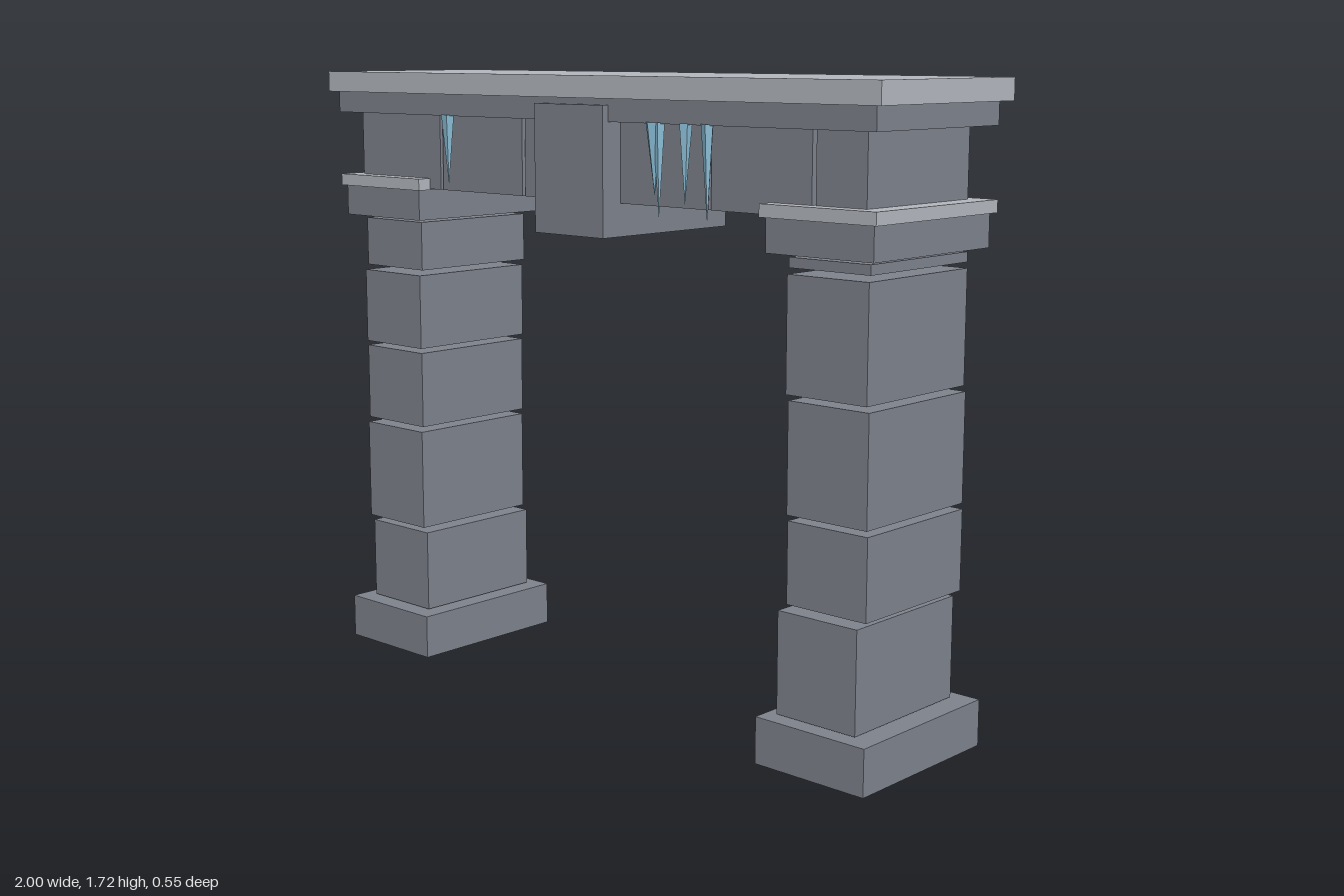
import * as THREE from 'three';

const material = (name, color) => {
  const m = new THREE.MeshStandardMaterial({ color });
  m.name = name;
  return m;
};

export function createModel() {
  const model = new THREE.Group();
  model.name = 'stoneGateway';
  const stone = material('stone', 0x7f838d);
  const paleStone = material('paleStone', 0xb4b8bf);
  const ice = material('ice', 0x8cbfd8);

  // Box given by its extents on each axis
  function block(name, mat, [x0, x1], [y0, y1], [z0, z1], parent = model) {
    const mesh = new THREE.Mesh(new THREE.BoxGeometry(x1 - x0, y1 - y0, z1 - z0), mat);
    mesh.position.set((x0 + x1) / 2, (y0 + y1) / 2, (z0 + z1) / 2);
    mesh.name = name;
    parent.add(mesh);
  }

  // Pillars: loose stacked blocks [centre x, bottom, top, back, front]
  const stacks = {
    rightPillar: [
      [-0.804, 0.13, 0.365, -0.203, 0.203],
      [-0.813, 0.38, 0.67, -0.198, 0.208],
      [-0.813, 0.685, 0.905, -0.2, 0.203],
      [-0.807, 0.92, 1.135, -0.198, 0.21],
      [-0.807, 1.15, 1.29, -0.207, 0.2],
    ],
    leftPillar: [
      [0.79, 0.13, 0.402, -0.2, 0.21],
      [0.807, 0.418, 0.633, -0.205, 0.197],
      [0.806, 0.648, 0.937, -0.205, 0.2],
      [0.806, 0.953, 1.25, -0.197, 0.21],
      [0.8, 1.264, 1.29, -0.205, 0.197],
    ],
  };
  for (const [name, stack] of Object.entries(stacks)) {
    const pillar = new THREE.Group();
    pillar.name = name;
    model.add(pillar);
    const cx = name === 'leftPillar' ? 0.801 : -0.806;
    const around = (half) => [cx - half, cx + half];
    block('plinth', stone, around(0.17), [0, 0.125], [-0.247, 0.25], pillar);
    for (const [x, y0, y1, z0, z1] of stack) {
      block('pillarBlock', stone, [x - 0.123, x + 0.123], [y0, y1], [z0, z1], pillar);
    }
    block('capital', stone, around(0.162), [1.3, 1.387], [-0.238, 0.241], pillar);
    block('capitalSlab', paleStone, around(0.175), [1.387, 1.42], [-0.252, 0.252], pillar);
  }

  // Lintel stones with narrow open joints
  const lintel = [
    [-0.927, -0.583], [-0.572, -0.246], [-0.234, 0.09],
    [0.102, 0.429], [0.437, 0.755], [0.767, 0.918],
  ];
  for (const span of lintel) block('lintelStone', stone, span, [1.39, 1.602], [-0.207, 0.21]);

  // Keystone and two-step cornice
  block('keystone', stone, [-0.128, 0.124], [1.303, 1.645], [-0.211, 0.276]);
  block('corniceLower', stone, [-0.978, 0.974], [1.602, 1.662], [-0.25, 0.255]);
  block('corniceTop', paleStone, [-1, 1], [1.662, 1.72], [-0.275, 0.275]);

  // Icicles under the front of the cornice: [x, tip height, radius]
  const icicles = [
    [-0.505, 1.41, 0.019], [0.28, 1.42, 0.026], [0.295, 1.362, 0.017],
    [0.383, 1.4, 0.018], [0.457, 1.36, 0.017],
  ];
  icicles.forEach(([x, tip, radius], i) => {
    const length = 1.605 - tip;
    const mesh = new THREE.Mesh(new THREE.ConeGeometry(radius, length, 5), ice);
    // Flat facets
    mesh.geometry = mesh.geometry.toNonIndexed();
    mesh.geometry.computeVertexNormals();
    mesh.rotation.set(Math.PI, i * 0.7, 0);
    mesh.position.set(x, tip + length / 2, 0.248);
    mesh.name = 'icicle';
    model.add(mesh);
  });

  return model;
}
